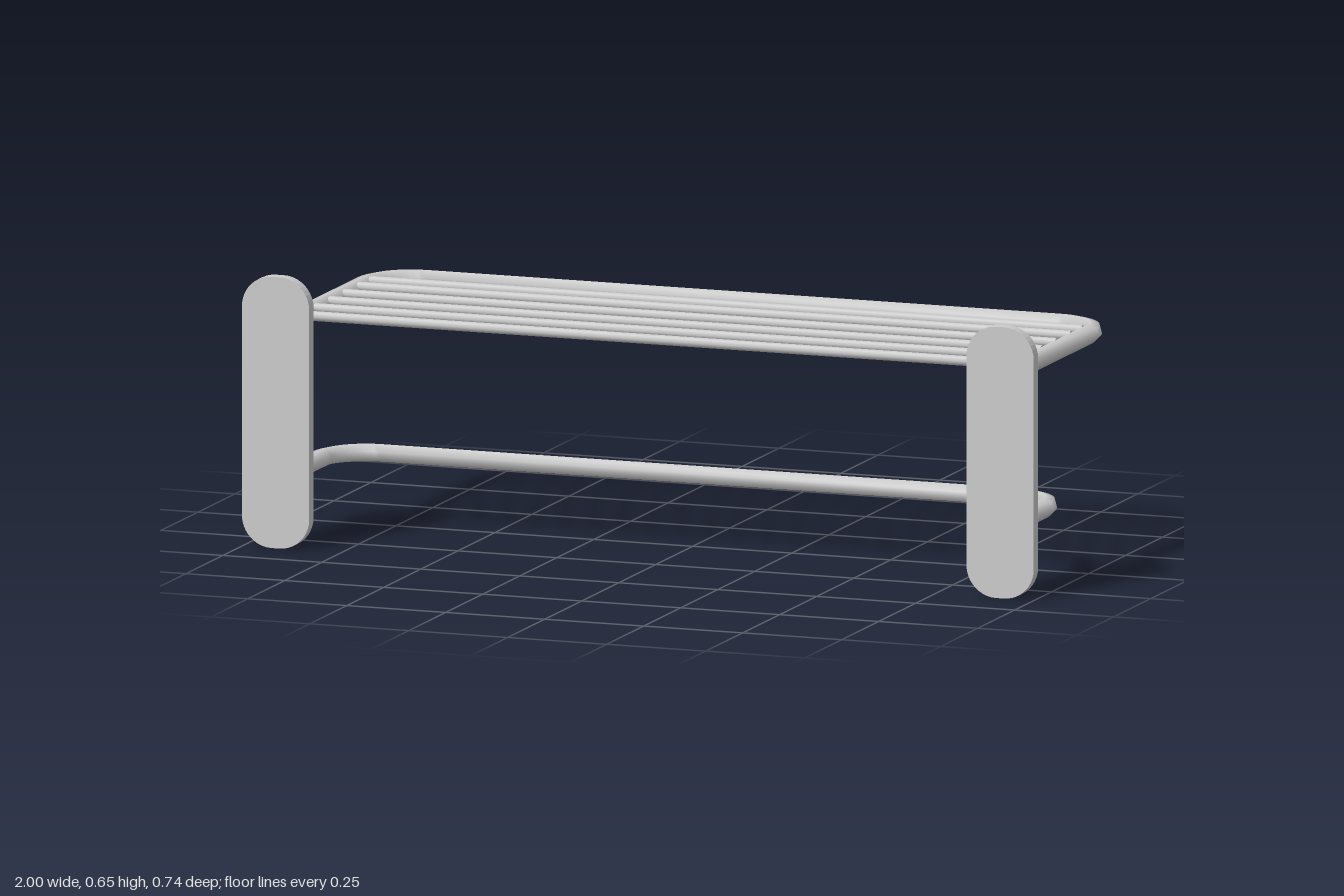
import * as THREE from 'three';

const ARM_X = 0.915;   // centre line of the side arms
const BEND = 0.115;    // bend radius of the rails
const TUBE = 0.0233;
const SIDES = 6;

const material = new THREE.MeshStandardMaterial({ color: 0xcccccc });

// U-shaped tube lying flat: arm, rounded bend, long rail, bend, arm
function railGeometry(y, backZ, frontZ) {
  const path = [{ x: ARM_X, z: frontZ, nx: 1, nz: 0 }];
  const steps = 10;
  for (const side of [1, -1]) {
    for (let i = 0; i <= steps; i++) {
      const a = ((side > 0 ? i : steps - i) / steps) * Math.PI / 2;
      const nx = side * Math.cos(a), nz = -Math.sin(a);
      path.push({
        x: side * (ARM_X - BEND) + nx * BEND,
        z: backZ + BEND + nz * BEND, nx, nz,
      });
    }
  }
  path.push({ x: -ARM_X, z: frontZ, nx: -1, nz: 0 });

  const positions = [], index = [];
  path.forEach((p, i) => {
    for (let j = 0; j < SIDES; j++) {
      const a = (j / SIDES) * Math.PI * 2 - Math.PI / 12;
      const out = TUBE * Math.cos(a);
      positions.push(p.x + p.nx * out, y + TUBE * Math.sin(a), p.z + p.nz * out);
      if (i === path.length - 1) continue;
      const k = (j + 1) % SIDES;
      const a0 = i * SIDES + j, a1 = i * SIDES + k;
      index.push(a0, a0 + SIDES, a1, a1, a0 + SIDES, a1 + SIDES);
    }
  });
  const geometry = new THREE.BufferGeometry();
  geometry.setAttribute('position', new THREE.Float32BufferAttribute(positions, 3));
  geometry.setIndex(index);
  geometry.computeVertexNormals();
  return geometry;
}

// Upright plate with rounded corners
function plateGeometry(w, h, depth, r) {
  const s = new THREE.Shape();
  const x = w / 2;
  s.moveTo(-x + r, 0);
  s.lineTo(x - r, 0);
  s.absarc(x - r, r, r, -Math.PI / 2, 0);
  s.absarc(x - r, h - r, r, 0, Math.PI / 2);
  s.absarc(-x + r, h - r, r, Math.PI / 2, Math.PI);
  s.absarc(-x + r, r, r, Math.PI, Math.PI * 1.5);
  return new THREE.ExtrudeGeometry(s, { depth, bevelEnabled: false, curveSegments: 5 });
}

export function createModel() {
  const group = new THREE.Group();
  const add = (name, geometry, x = 0, y = 0, z = 0) => {
    const mesh = new THREE.Mesh(geometry, material);
    mesh.name = name;
    mesh.position.set(x, y, z);
    group.add(mesh);
    return mesh;
  };

  // Mounting plates
  const plate = plateGeometry(0.17, 0.653, 0.03, 0.075);
  add('leftPlate', plate, ARM_X, 0, 0.341);
  add('rightPlate', plate, -ARM_X, 0, 0.341);

  // Shelf frame and the shorter towel rail below it
  add('shelfFrame', railGeometry(0.53, -0.348, 0.35));
  add('towelRail', railGeometry(0.164, -0.045, 0.35));

  // Thin shelf bars between the arms
  const bar = new THREE.CylinderGeometry(0.012, 0.012, 1.8, 8);
  bar.rotateZ(Math.PI / 2);
  [-0.227, -0.148, -0.05, 0.048, 0.145, 0.243].forEach((z, i) => {
    add(`shelfBar${i + 1}`, bar, 0, 0.54, z);
  });

  return group;
}
